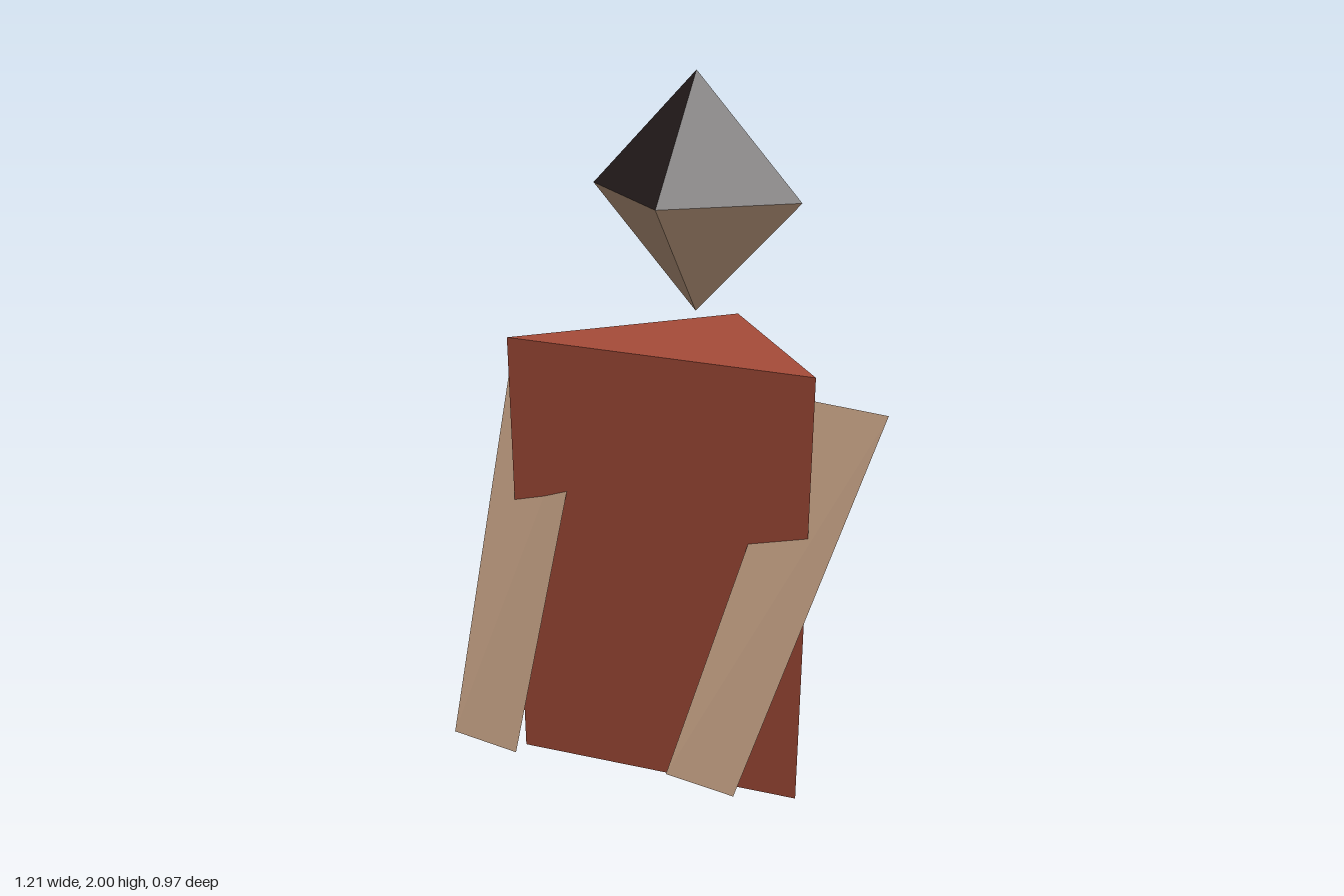
import * as THREE from 'three';

const mat = (name, color, extra = {}) => {
  const m = new THREE.MeshStandardMaterial({ color, ...extra });
  m.name = name;
  return m;
};

// Flat-shaded mesh from convex polygons, corners counter-clockwise from outside
function facets(name, polygons, material) {
  const pos = [];
  for (const p of polygons)
    for (let i = 1; i < p.length - 1; i++) pos.push(...p[0], ...p[i], ...p[i + 1]);
  const geo = new THREE.BufferGeometry();
  geo.setAttribute('position', new THREE.Float32BufferAttribute(pos, 3));
  geo.computeVertexNormals();
  const mesh = new THREE.Mesh(geo, material);
  mesh.name = name;
  return mesh;
}

export function createModel() {
  const model = new THREE.Group();
  model.name = 'figure';
  const red = mat('robeRed', 0xa64c39);
  const dark = mat('hairDark', 0x2e2424);
  const skin = mat('skin', 0xba987d);
  const armSkin = skin;
  armSkin.side = THREE.DoubleSide; // arms are open sheets

  // Body: three-sided prism, slightly narrower at the foot
  const ring = (w, y) => [[-w, y, 0.045], [w, y, 0.045], [0, y, -0.487]];
  const foot = ring(0.433, 0), shoulder = ring(0.475, 1.24);
  const sides = [0, 1, 2].map((i) => {
    const j = (i + 1) % 3;
    return [foot[i], foot[j], shoulder[j], shoulder[i]];
  });
  model.add(facets('body', [shoulder, [...foot].reverse(), ...sides], red));

  // Head: stretched octahedron with a face on the two lower front facets
  const hz = -0.2, hy = 1.655;
  const crown = [0, 2, hz], chin = [0, 1.315, hz];
  const belt = [[0, hy, hz + 0.257], [0.323, hy, hz], [0, hy, hz - 0.257], [-0.323, hy, hz]];
  const hair = [], face = [];
  belt.forEach((a, i) => {
    const b = belt[(i + 1) % 4];
    hair.push([a, b, crown]);
    (i === 0 || i === 3 ? face : hair).push([b, a, chin]);
  });
  const head = new THREE.Group();
  head.name = 'head';
  head.add(facets('hair', hair, dark), facets('face', face, skin));
  model.add(head);

  // Arms: thin sheets sloping forward, both skewed the same way
  const arm = (name, x0, x1, x2, x3) => facets(name, [[
    [x0, 0.19, 0.435], [x1, 0.19, 0.487], [x2, 1.095, -0.16], [x3, 1.095, -0.21],
  ]], armSkin);
  model.add(arm('rightArm', -0.443, -0.218, -0.32, -0.607));
  model.add(arm('leftArm', 0.218, 0.443, 0.607, 0.32));
  return model;
}
